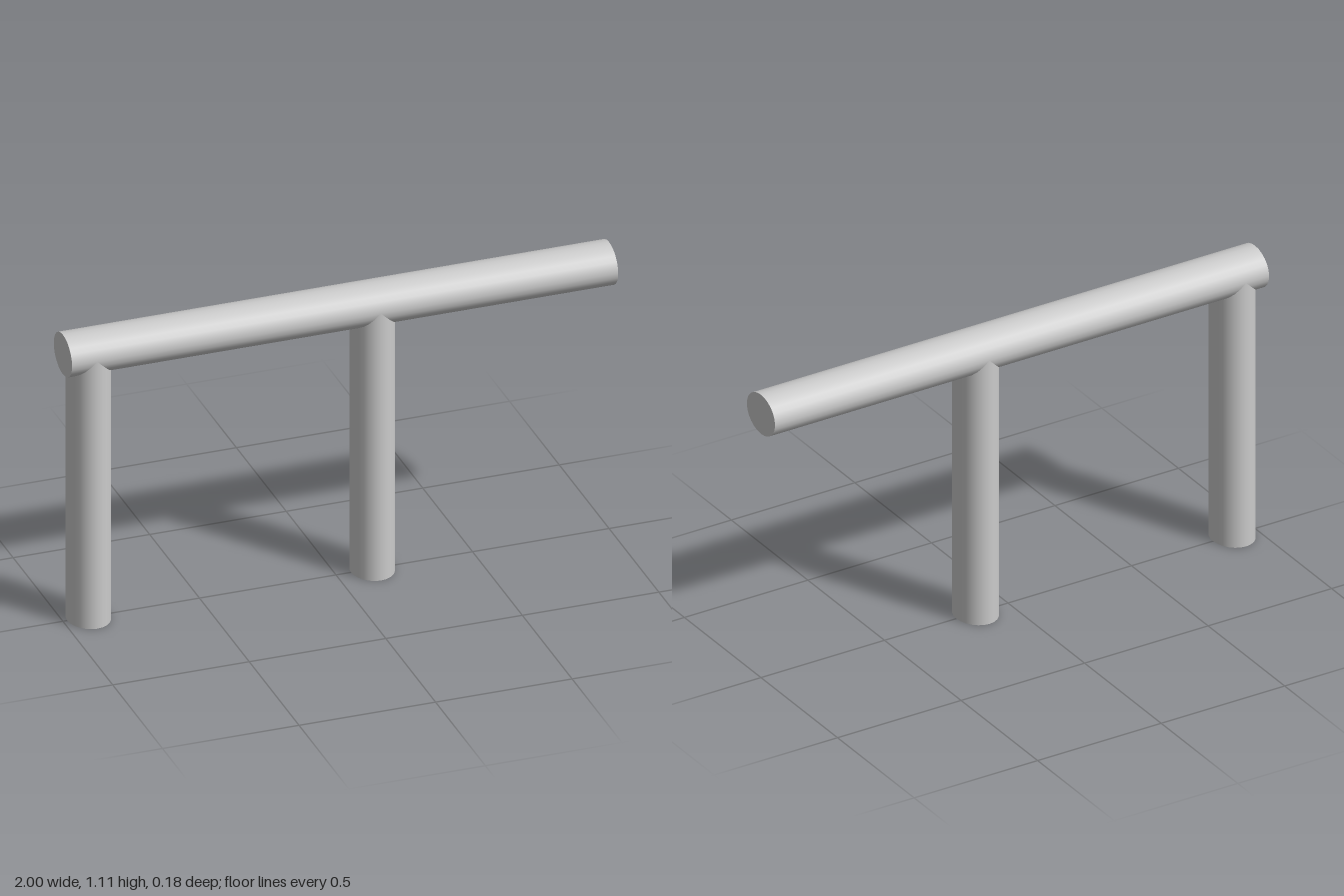
import * as THREE from 'three';

const HALF_HEIGHT = 0.077; // narrow radius of the oval section
const HALF_DEPTH = 0.092;  // wide radius, along z
const RAIL_Y = 1.037;

const material = new THREE.MeshStandardMaterial({ color: 0xcccccc });

// Upright bar with an oval section, centred on its own middle
function ovalBar(name, length) {
  const geometry = new THREE.CylinderGeometry(1, 1, length, 24);
  geometry.scale(HALF_HEIGHT, 1, HALF_DEPTH);
  const bar = new THREE.Mesh(geometry, material);
  bar.name = name;
  return bar;
}

export function createModel() {
  const group = new THREE.Group();
  group.name = 'handrail';

  // Horizontal top rail
  const rail = ovalBar('rail', 2);
  rail.rotation.z = Math.PI / 2;
  rail.position.y = RAIL_Y;
  group.add(rail);

  // Posts run up to the middle of the rail
  for (const [name, x] of [['rightPost', -0.907], ['middlePost', 0.132]]) {
    const post = ovalBar(name, RAIL_Y);
    post.position.set(x, RAIL_Y / 2, 0);
    group.add(post);
  }
  return group;
}
